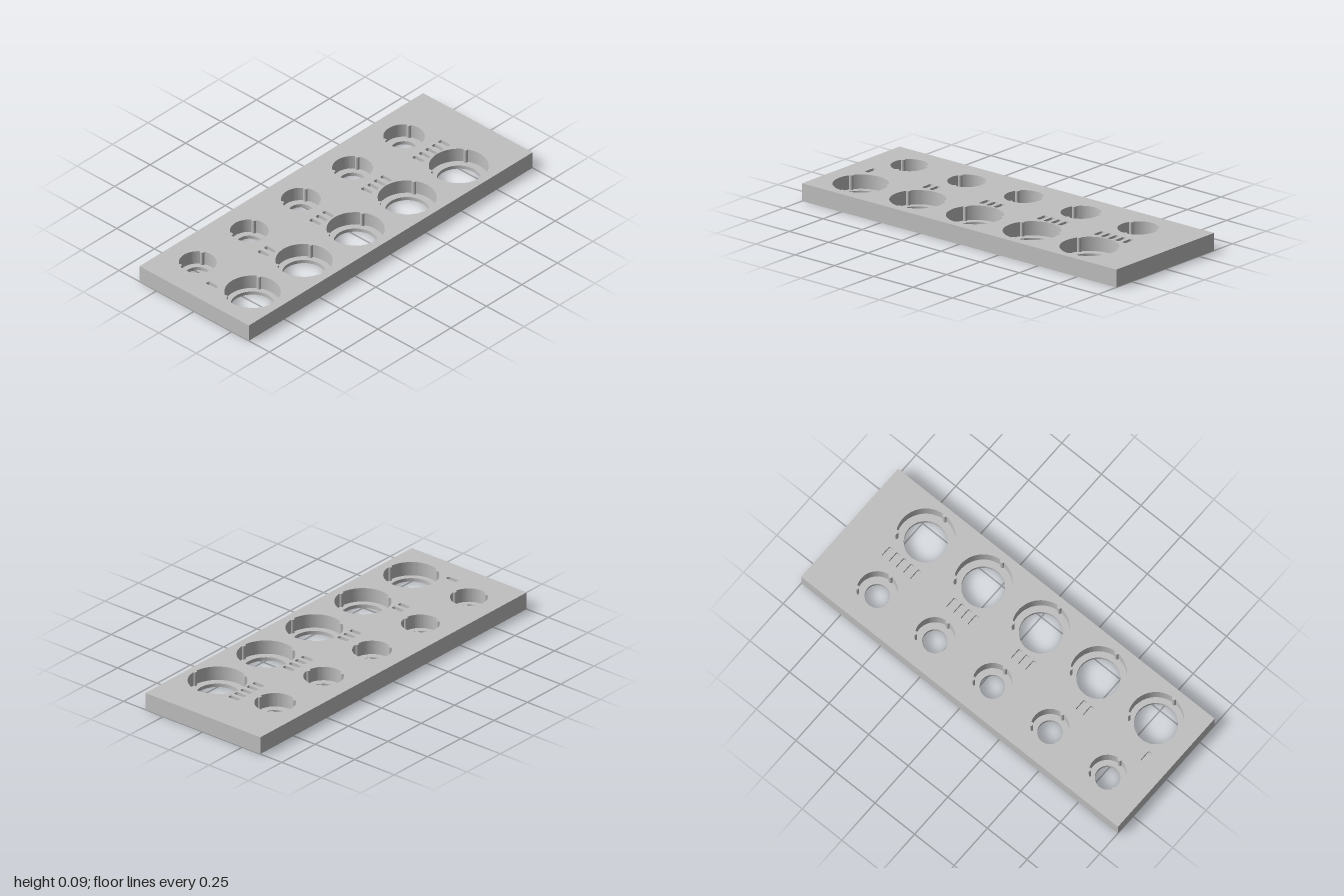
import * as THREE from 'three';
import { toCreasedNormals } from 'three/addons/utils/BufferGeometryUtils.js';

const U = 2 / 110; // one millimetre of the 110 x 40 x 5 plate
const COLUMNS = [-43, -23, -3, 17, 37];
const polar = (cx, cy, r, a) => new THREE.Vector2((cx + r * Math.cos(a)) * U, (cy + r * Math.sin(a)) * U);

function circle(cx, cy, r) {
  const pts = [];
  for (let i = 0; i < 64; i++) pts.push(polar(cx, cy, r, (i / 64) * Math.PI * 2));
  return new THREE.Path(pts);
}

// Round pocket outline with three small grip ribs pointing inward
function ribbedBore(cx, cy, r) {
  const pts = [], rib = 0.62, third = (Math.PI * 2) / 3;
  const half = 2 * Math.asin(rib / (2 * r)); // angle from rib centre to where it meets the wall
  for (let k = 0; k < 3; k++) {
    const a = -Math.PI / 2 + k * third;
    const mx = cx + r * Math.cos(a), my = cy + r * Math.sin(a);
    const sweep = Math.PI - half;
    for (let i = 0; i <= 8; i++) pts.push(polar(mx, my, rib, a - Math.PI / 2 - half / 2 - (i / 8) * sweep));
    for (let i = 1; i < 24; i++) pts.push(polar(cx, cy, r, a + half + (i / 24) * (third - 2 * half)));
  }
  return new THREE.Path(pts);
}

// Tally slot with rounded corners
function slot(cx, cy) {
  const pts = [], w = 0.65, h = 1.75, r = 0.35;
  [[1, 1], [-1, 1], [-1, -1], [1, -1]].forEach(([sx, sy], q) => {
    for (let i = 0; i <= 3; i++)
      pts.push(polar(cx + sx * (w - r), cy + sy * (h - r), r, (q + i / 3) * Math.PI / 2));
  });
  return new THREE.Path(pts);
}

export function createModel() {
  const model = new THREE.Group();
  model.name = 'sizingPlate';
  const grey = new THREE.MeshStandardMaterial({ color: 0xc0c0c0 });
  grey.name = 'grey';

  // One slab of the plate, from y0 to y1 in millimetres, pierced by the holes
  function addLayer(name, y0, y1, holes) {
    const shape = new THREE.Shape([[-55, -20], [55, -20], [55, 20], [-55, 20]]
      .map(([x, y]) => new THREE.Vector2(x * U, y * U)));
    shape.holes = holes;
    let geo = new THREE.ExtrudeGeometry(shape, { depth: (y1 - y0) * U, bevelEnabled: false });
    geo.rotateX(-Math.PI / 2);
    geo = toCreasedNormals(geo, 0.5);
    const mesh = new THREE.Mesh(geo, grey);
    mesh.name = name;
    mesh.position.y = y0 * U;
    model.add(mesh);
  }

  const through = [], bores = [], slots = [];
  COLUMNS.forEach((x, i) => {
    // Large pockets at the front, small at the back, each column slightly wider
    through.push(circle(x, -10, 5.85), circle(x, 10, 3.4));
    bores.push(ribbedBore(x, -10, 7.5 + 0.12 * i), ribbedBore(x, 10, 5.05 + 0.12 * i));
    for (let n = 0; n <= i; n++) slots.push(slot(x - 5.05 + 2.5 * n, 0));
  });

  addLayer('pocketFloor', 0, 1, through);
  addLayer('pocketWalls', 1, 4, bores);
  addLayer('slottedTop', 4, 5, [...bores, ...slots]);
  return model;
}
